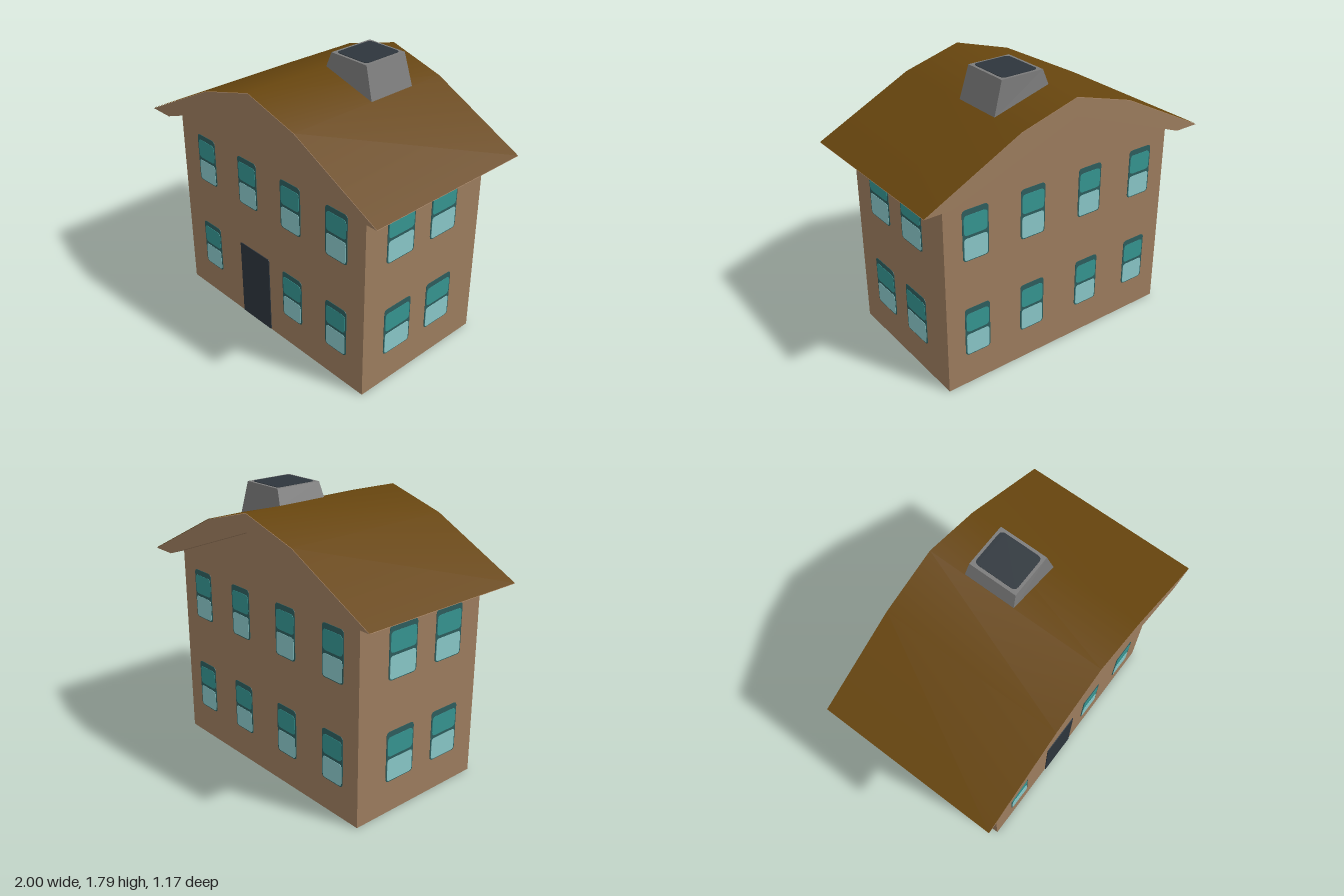
import * as THREE from 'three';

const mat = (name, color, side = THREE.FrontSide) => {
  const m = new THREE.MeshStandardMaterial({ color, side });
  m.name = name;
  return m;
};

export function createModel() {
  const house = new THREE.Group();
  house.name = 'house';
  const wallMat = mat('tan wall', 0x9c7c5e);
  const roofMat = mat('brown roof', 0x67450e, THREE.DoubleSide);
  const stoneMat = mat('grey chimney', 0x7a7a7a);
  const darkMat = mat('dark slate', 0x2d353c);
  const frameMat = mat('window frame', 0x2d5d5d);
  const upperMat = mat('teal glass', 0x359490);
  const lowerMat = mat('pale glass', 0x88c6c7);

  const add = (parent, name, geometry, material) => {
    const mesh = new THREE.Mesh(geometry, material);
    mesh.name = name;
    parent.add(mesh);
    return mesh;
  };

  // Extrude an outline of [x, y] points, centred on z = 0
  const prism = (points, depth) => {
    const shape = new THREE.Shape(points.map(([x, y]) => new THREE.Vector2(x, y)));
    return new THREE.ExtrudeGeometry(shape, { depth, bevelEnabled: false }).translate(0, 0, -depth / 2);
  };

  // Thin plate with rounded corners, its back on z = 0
  const plate = (x, y, w, h, r, thick) => {
    const s = new THREE.Shape();
    const [a, b, c, d] = [x - w / 2, x + w / 2, y, y + h];
    s.moveTo(a + r, c).lineTo(b - r, c).quadraticCurveTo(b, c, b, c + r);
    s.lineTo(b, d - r).quadraticCurveTo(b, d, b - r, d);
    s.lineTo(a + r, d).quadraticCurveTo(a, d, a, d - r);
    s.lineTo(a, c + r).quadraticCurveTo(a, c, a + r, c);
    return new THREE.ExtrudeGeometry(s, { depth: thick, bevelEnabled: false, curveSegments: 4 });
  };

  // Walls with gable ends
  add(house, 'walls', prism([[-0.83, 0], [0.83, 0], [0.83, 1.27], [0, 1.58], [-0.83, 1.27]], 0.97), wallMat);

  // Overhanging roof body: tan ends and soffits
  const slope = [[-1, 1.27], [-0.4, 1.575], [0, 1.69], [0.38, 1.582], [1, 1.27]];
  const soffit = [[0.83, 1.27], [0, 1.58], [-0.83, 1.27]];
  add(house, 'roofBody', prism([...soffit, ...slope], 1.17), wallMat);

  // Brown roof covering, a sheet bent over the slopes
  const sheet = new THREE.PlaneGeometry(2, 1.17, 4, 1).rotateX(-Math.PI / 2);
  const sp = sheet.attributes.position;
  for (let i = 0; i < sp.count; i++) {
    const [x, y] = slope[i % 5];
    sp.setXYZ(i, x, y + 0.003, sp.getZ(i));
  }
  sheet.computeVertexNormals();
  add(house, 'roofCovering', sheet, roofMat);

  // Tapered chimney whose foot follows the roof slope
  const chimney = new THREE.Group();
  chimney.name = 'chimney';
  house.add(chimney);
  const stack = new THREE.BoxGeometry(1, 1, 1).toNonIndexed();
  const cp = stack.attributes.position;
  for (let i = 0; i < cp.count; i++) {
    const right = cp.getX(i) > 0, top = cp.getY(i) > 0, front = cp.getZ(i) > 0;
    if (top) cp.setXYZ(i, right ? 0.32 : 0.035, 1.785, front ? -0.012 : -0.328);
    else cp.setXYZ(i, right ? 0.382 : 0, right ? 1.575 : 1.685, front ? 0 : -0.34);
  }
  stack.computeVertexNormals();
  add(chimney, 'chimneyStack', stack, stoneMat);
  const flue = add(chimney, 'chimneyOpening', plate(0, -0.14, 0.245, 0.28, 0.03, 0.003), darkMat);
  flue.rotation.x = -Math.PI / 2;
  flue.position.set(0.178, 1.785, -0.17);

  // Two-pane windows, placed on a wall group facing +z
  const addWindow = (wall, x, y, w) => {
    const win = new THREE.Group();
    win.name = 'window';
    win.position.set(x, y, 0);
    wall.add(win);
    add(win, 'windowFrame', plate(0, 0, w, 0.325, 0.025, 0.003), frameMat);
    add(win, 'upperPane', plate(0, 0.165, w - 0.017, 0.125, 0.025, 0.005), upperMat);
    add(win, 'lowerPane', plate(0, 0.006, w - 0.017, 0.14, 0.02, 0.005), lowerMat);
  };

  const addWall = (name, angle, distance, columns, width, doorColumn) => {
    const wall = new THREE.Group();
    wall.name = name;
    wall.rotation.y = angle;
    wall.position.set(Math.sin(angle) * distance, 0, Math.cos(angle) * distance);
    house.add(wall);
    columns.forEach((x, i) => {
      addWindow(wall, x, 0.852, width);
      if (i !== doorColumn) addWindow(wall, x, 0.207, width);
    });
    return wall;
  };

  const front = addWall('frontWall', 0, 0.485, [-0.58, -0.175, 0.22, 0.605], 0.175, 1);
  addWall('backWall', Math.PI, 0.485, [-0.62, -0.22, 0.21, 0.62], 0.175);
  addWall('leftWall', Math.PI / 2, 0.83, [-0.207, 0.153], 0.22);
  addWall('rightWall', -Math.PI / 2, 0.83, [-0.155, 0.22], 0.22);

  // Front door
  add(front, 'door', plate(-0.135, 0.003, 0.28, 0.54, 0.008, 0.005), darkMat);

  return house;
}
